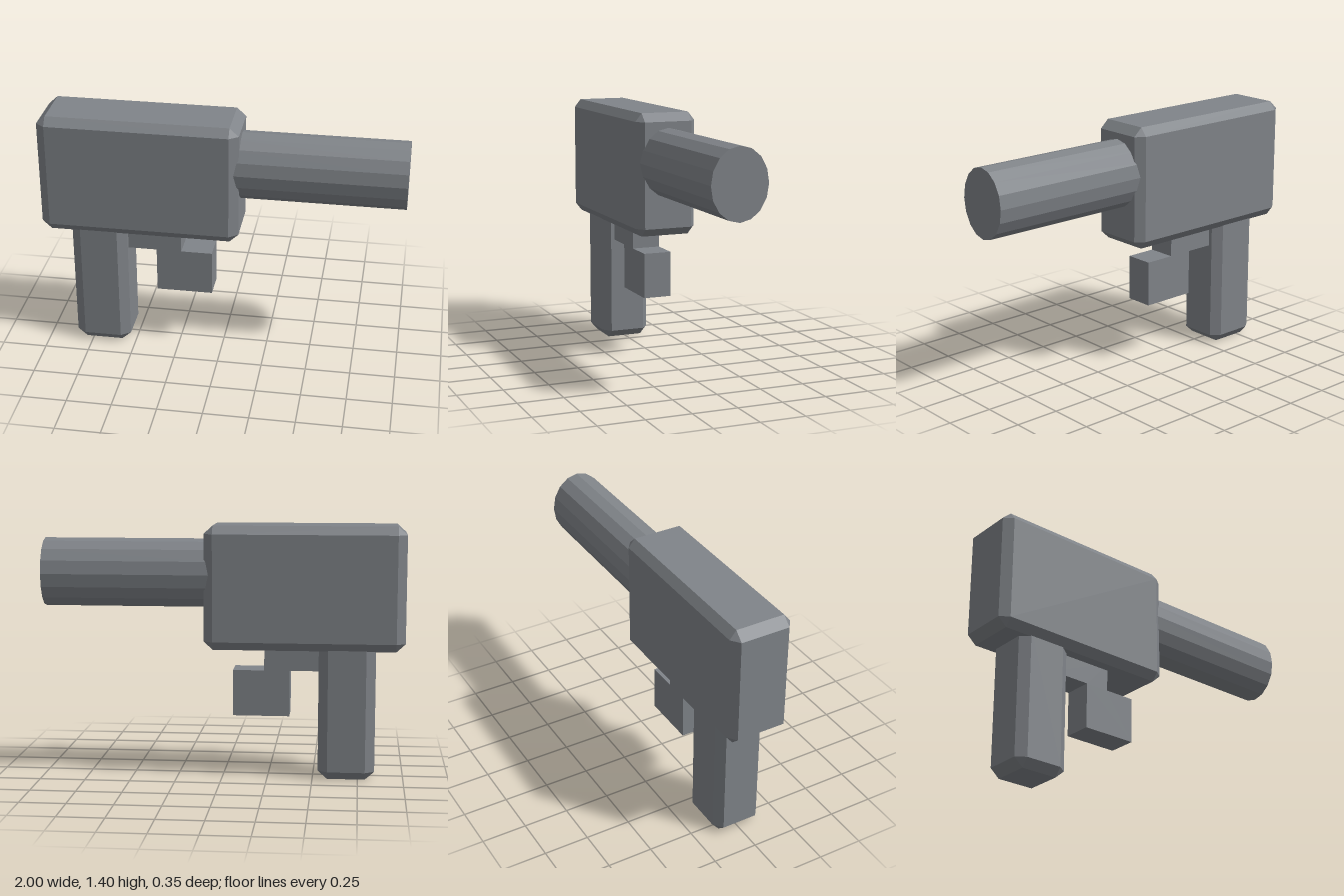
import * as THREE from 'three';
import { ConvexGeometry } from 'three/addons/geometries/ConvexGeometry.js';

// Box with every edge cut off by a flat bevel (half sizes h, bevel sizes b per axis)
function bevelledBox(h, b) {
  const points = [];
  for (const sx of [-1, 1]) for (const sy of [-1, 1]) for (const sz of [-1, 1]) {
    const s = [sx, sy, sz];
    for (let axis = 0; axis < 3; axis++) {
      points.push(new THREE.Vector3(...h.map((v, i) => s[i] * (i === axis ? v : v - b[i]))));
    }
  }
  return new ConvexGeometry(points);
}

export function createModel() {
  const model = new THREE.Group();
  const gunmetal = new THREE.MeshStandardMaterial({ color: 0x808489, flatShading: true });
  gunmetal.name = 'gunmetal';

  const add = (name, geometry, x, y, z) => {
    const mesh = new THREE.Mesh(geometry, gunmetal);
    mesh.name = name;
    mesh.position.set(x, y, z);
    model.add(mesh);
  };

  // Main housing
  add('body', bevelledBox([0.55, 0.34, 0.174], [0.05, 0.046, 0.037]), -0.45, 1.06, 0);

  // Grip, its top sunk into the housing
  add('grip', bevelledBox([0.156, 0.4, 0.14], [0.052, 0.046, 0.039]), -0.686, 0.4, 0);

  // Oval sixteen-sided barrel along x
  const barrel = new THREE.CylinderGeometry(1, 1, 1, 16);
  barrel.rotateZ(-Math.PI / 2);
  barrel.scale(1, 0.19, 0.157);
  add('barrel', barrel, 0.5, 1.13, 0);

  // Stepped trigger block
  const outline = [[-0.6, 0.6], [-0.37, 0.6], [-0.37, 0.345], [-0.057, 0.345],
    [-0.057, 0.6], [-0.23, 0.6], [-0.23, 0.76], [-0.6, 0.76]];
  const shape = new THREE.Shape(outline.map(([x, y]) => new THREE.Vector2(x, y)));
  add('trigger', new THREE.ExtrudeGeometry(shape, { depth: 0.16, bevelEnabled: false }), 0, 0, -0.08);

  return model;
}
